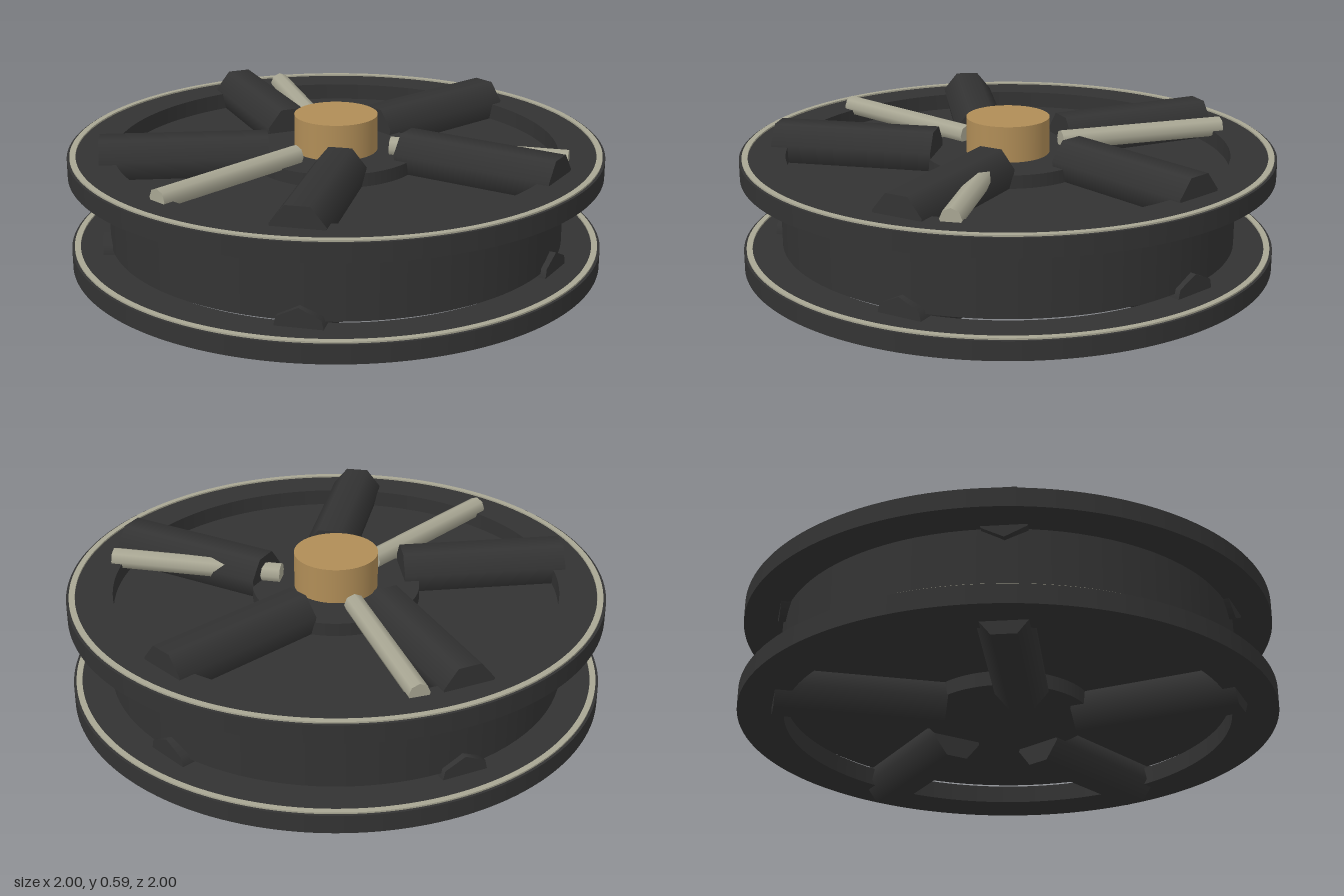
import * as THREE from 'three';

const black = new THREE.MeshStandardMaterial({ color: 0x333333 });
black.name = 'charcoal';
const bronze = new THREE.MeshStandardMaterial({ color: 0xb08d57 });
bronze.name = 'bronze';
const pale = new THREE.MeshStandardMaterial({ color: 0xa8a693 });
pale.name = 'pale grey';

const SEGMENTS = 96;

function add(parent, name, geometry, material, y = 0) {
  const mesh = new THREE.Mesh(geometry, material);
  mesh.name = name;
  mesh.position.y = y;
  parent.add(mesh);
  return mesh;
}

// Upright disc between two heights
function disc(parent, name, radius, bottom, top, material) {
  const geometry = new THREE.CylinderGeometry(radius, radius, top - bottom, SEGMENTS);
  return add(parent, name, geometry, material, (bottom + top) / 2);
}

// Flat ring with a square section, between two heights
function ring(parent, name, inner, outer, bottom, top, material) {
  const shape = new THREE.Shape().absarc(0, 0, outer, 0, Math.PI * 2);
  shape.holes.push(new THREE.Path().absarc(0, 0, inner, 0, Math.PI * 2, true));
  const geometry = new THREE.ExtrudeGeometry(shape, {
    depth: top - bottom, bevelEnabled: false, curveSegments: SEGMENTS,
  });
  geometry.rotateX(-Math.PI / 2);
  return add(parent, name, geometry, material, bottom);
}

// Five seven-sided bars, set slightly off the radial line
function addSpokes(parent, name, y, turn) {
  const spokes = new THREE.Group();
  spokes.name = name;
  const geometry = new THREE.CylinderGeometry(0.1, 0.1, 0.617, 7);
  geometry.rotateX(turn);
  geometry.rotateY(0.016);
  geometry.translate(0.085, 0, 0.566);
  for (let i = 0; i < 5; i++) {
    add(spokes, 'spoke', geometry, black, y).rotation.y = (i * Math.PI * 2) / 5;
  }
  parent.add(spokes);
}

export function createModel() {
  const wheel = new THREE.Group();
  wheel.name = 'spool wheel';

  // Drum, whose end faces are the floors of the recesses
  disc(wheel, 'drum', 0.855, 0.14, 0.415, black);

  // Flanges with pale trim; the lower one leaves a narrow slit under the drum
  ring(wheel, 'upperFlange', 0.83, 1, 0.408, 0.478, black);
  ring(wheel, 'upperTrim', 0.968, 0.99, 0.476, 0.484, pale);
  ring(wheel, 'lowerFlange', 0.83, 1, 0.055, 0.125, black);
  ring(wheel, 'lowerTrim', 0.968, 0.99, 0.123, 0.131, pale);

  // Hub plates and axle cap
  disc(wheel, 'upperHubPlate', 0.312, 0.41, 0.465, black);
  disc(wheel, 'lowerHubPlate', 0.312, 0.085, 0.145, black);
  disc(wheel, 'axleCap', 0.156, 0.44, 0.6, bronze);

  // Spokes on both faces, flat side outwards
  addSpokes(wheel, 'upperSpokes', 0.464, Math.PI / 2);
  addSpokes(wheel, 'lowerSpokes', 0.097, -Math.PI / 2);

  // Three pale radial rods on the upper face
  const rod = new THREE.CylinderGeometry(0.039, 0.039, 0.66, 8);
  rod.rotateZ(-Math.PI / 2);
  rod.translate(0.54, 0, 0);
  for (let i = 0; i < 3; i++) {
    add(wheel, 'rod', rod, pale, 0.487).rotation.y = (i * Math.PI * 2) / 3;
  }

  return wheel;
}
